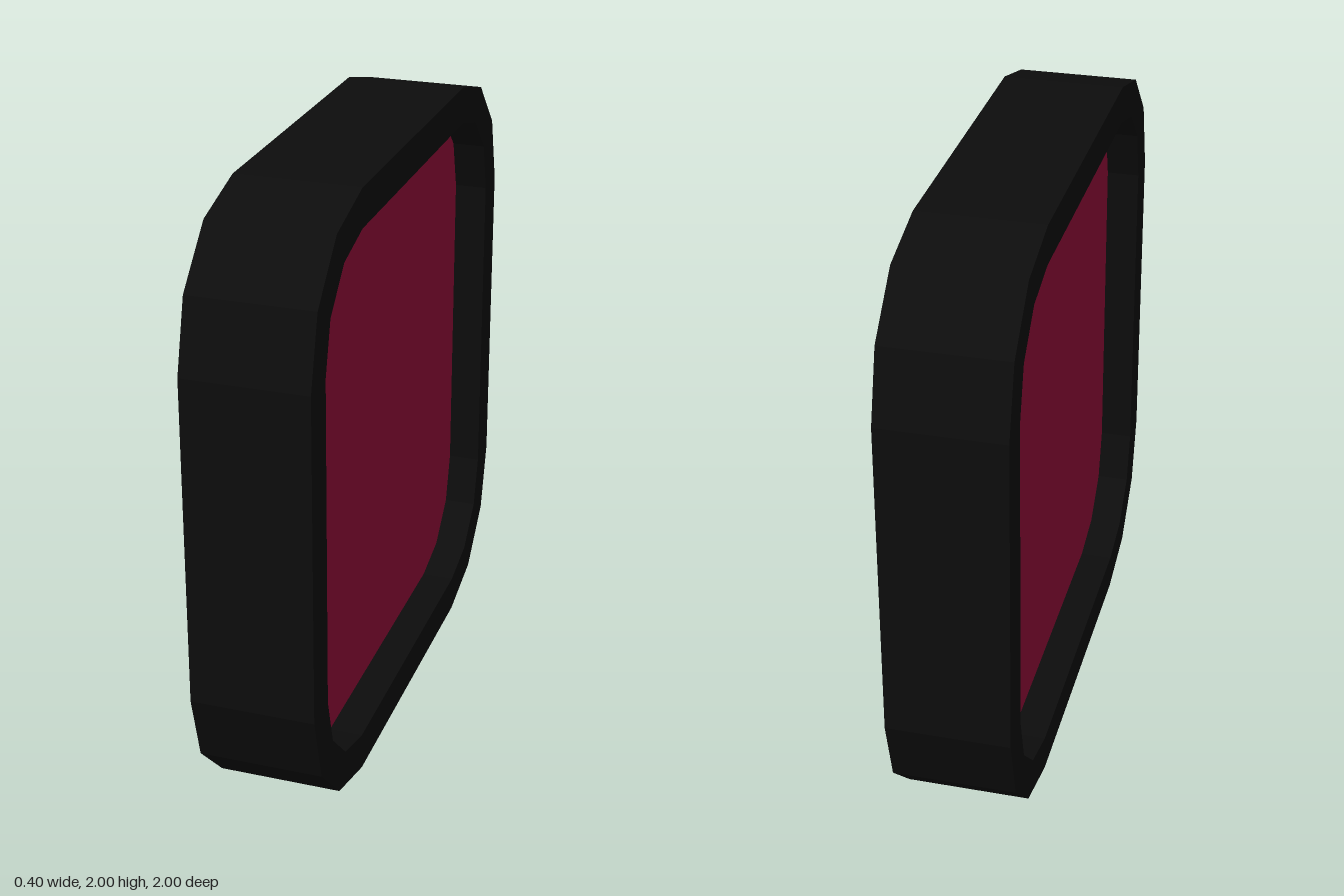
import * as THREE from 'three';

const CORNER = 0.54; // centre of each corner arc, shared by both outlines
const STEPS = 3;     // facets per corner

// Square outline with faceted round corners
function outline(radius) {
  const points = [];
  for (let c = 0; c < 4; c++) {
    const mid = (c + 0.5) * Math.PI / 2;
    const cx = CORNER * Math.sign(Math.cos(mid));
    const cy = CORNER * Math.sign(Math.sin(mid));
    for (let i = 0; i <= STEPS; i++) {
      const a = (c + i / STEPS) * Math.PI / 2;
      points.push(new THREE.Vector2(cx + radius * Math.cos(a), cy + radius * Math.sin(a)));
    }
  }
  return points;
}

// Slab centred on x = 0, with its outline in the y-z plane
function slab(name, shape, thickness, color) {
  const geometry = new THREE.ExtrudeGeometry(shape, { depth: thickness, bevelEnabled: false });
  geometry.translate(0, 0, -thickness / 2).rotateY(Math.PI / 2).translate(0, 1, 0);
  const mesh = new THREE.Mesh(geometry, new THREE.MeshStandardMaterial({ color, flatShading: true }));
  mesh.name = name;
  return mesh;
}

export function createModel() {
  const group = new THREE.Group();
  group.name = 'framedPanel';

  // Dark frame, open through the middle
  const frame = new THREE.Shape(outline(0.46));
  frame.holes.push(new THREE.Path(outline(0.335).reverse()));
  group.add(slab('frame', frame, 0.4, 0x0d0d0d));

  // Coloured panel, recessed on both sides
  group.add(slab('panel', new THREE.Shape(outline(0.335)), 0.18, 0x9c0f3c));

  return group;
}
